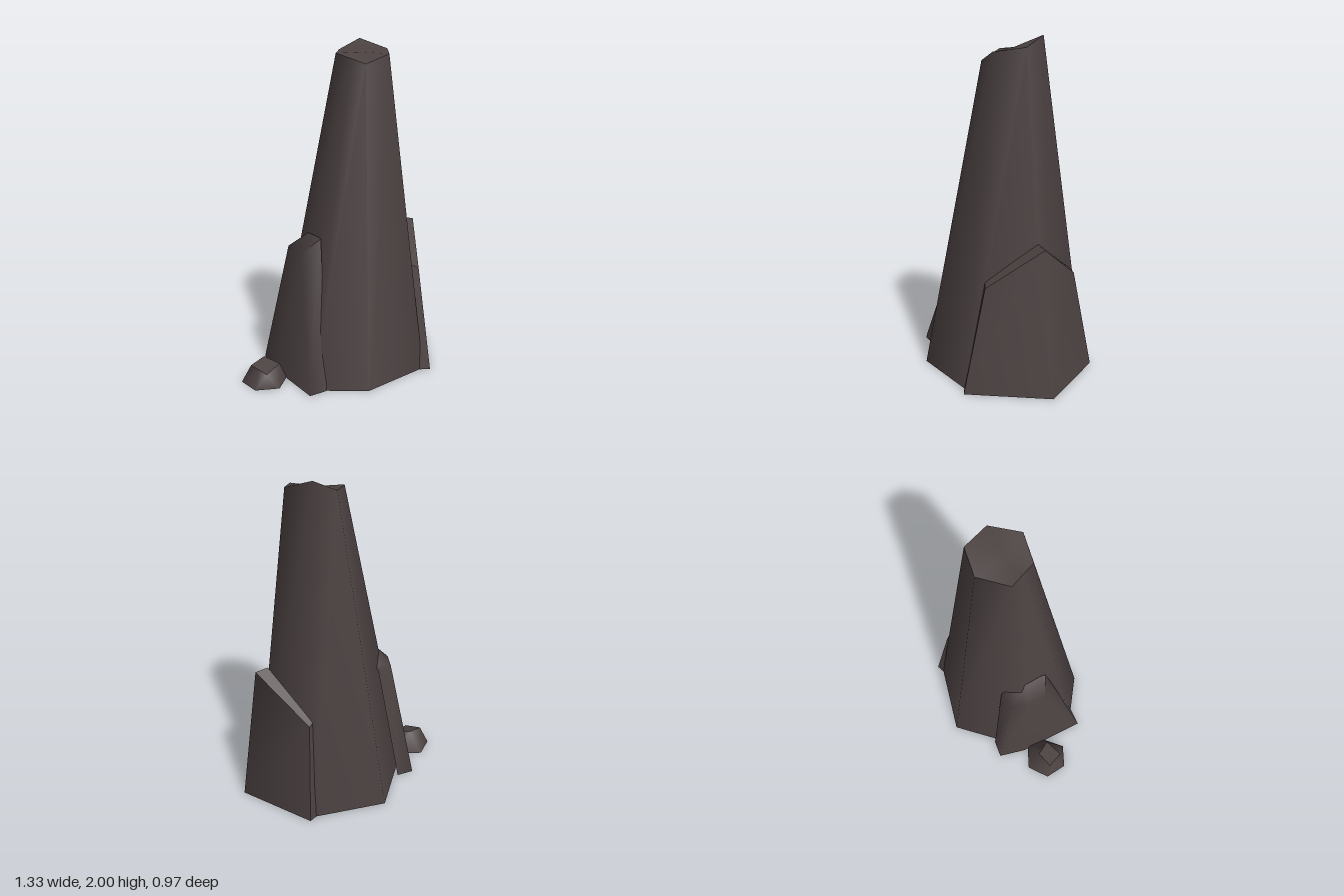
import * as THREE from 'three';

const stone = new THREE.MeshStandardMaterial({ color: 0x4b4141, side: THREE.DoubleSide });
stone.name = 'dark stone';

// Smooth skin over rows of [x, y, z] points, each row running x towards z.
function skin(name, rows, closed = false) {
  const n = rows[0].length;
  const index = [];
  for (let r = 0; r < rows.length - 1; r++) {
    for (let i = 0; i < (closed ? n : n - 1); i++) {
      const j = (i + 1) % n;
      const a = r * n + i, b = r * n + j, c = a + n, d = b + n;
      index.push(a, c, b, c, d, b);
    }
  }
  return finish(name, rows.flat(), index);
}

// Lid over a ring of points, fanned from its middle.
function lid(name, ring) {
  const n = ring.length;
  const mid = [0, 1, 2].map(k => ring.reduce((s, p) => s + p[k], 0) / n);
  const index = [];
  for (let i = 0; i < n; i++) index.push(n, (i + 1) % n, i);
  return finish(name, [...ring, mid], index);
}

function finish(name, points, index) {
  const geo = new THREE.BufferGeometry();
  geo.setAttribute('position', new THREE.Float32BufferAttribute(points.flat(), 3));
  geo.setIndex(index);
  geo.computeVertexNormals();
  const mesh = new THREE.Mesh(geo, stone);
  mesh.name = name;
  return mesh;
}

const ground = pts => pts.map(([x, z]) => [x, 0, z]);

function part(name, ...meshes) {
  const g = new THREE.Group();
  g.name = name;
  g.add(...meshes);
  return g;
}

export function createModel() {
  const model = new THREE.Group();
  model.name = 'rockSpire';

  // Tall leaning spire with a slanted top
  const spireBase = ground([[0.57, -0.1], [0.43, 0.33], [0, 0.487], [-0.3, 0.37],
    [-0.43, 0.02], [-0.17, -0.445], [0.28, -0.455]]);
  const spireTop = [[0.325, 1.94, -0.05], [0.26, 1.915, 0.125], [0.105, 1.86, 0.145],
    [0.04, 1.89, 0.073], [-0.025, 1.918, 0], [0.06, 1.935, -0.17], [0.2, 2, -0.19]];
  model.add(part('spire',
    skin('spireSides', [spireBase, spireTop], true),
    lid('spireTop', spireTop)));

  // Angular slab leaning on the left side: back, middle and front corners
  const outBase = ground([[0.315, -0.487], [0.663, -0.115], [0.465, 0.36]]);
  const outTop = [[0.285, 0.6, -0.375], [0.545, 0.852, -0.095], [0.437, 0.622, 0.222]];
  const inBase = ground([[0.265, -0.45], [0.57, -0.1], [0.405, 0.342]]);
  const inTop = [[0.262, 0.62, -0.362], [0.468, 0.865, -0.08], [0.385, 0.645, 0.208]];
  model.add(part('leftSlab',
    skin('slabFace', [outBase, outTop]),
    skin('slabBackEnd', [[inBase[0], outBase[0]], [inTop[0], outTop[0]]]),
    skin('slabFrontEnd', [[outBase[2], inBase[2]], [outTop[2], inTop[2]]]),
    ...[0, 1].map(i => skin('slabTop', [outTop.slice(i, i + 2), inTop.slice(i, i + 2)]))));

  // Rounded slab on the right side: front inner, front, middle, back, back inner
  model.add(skin('rightSlab', [
    ground([[-0.23, 0.4], [-0.34, 0.424], [-0.445, 0], [-0.447, -0.18], [-0.34, -0.195]]),
    [[-0.185, 0.86, 0.18], [-0.3, 0.77, 0.15], [-0.325, 0.77, 0.04], [-0.31, 0.76, -0.07], [-0.215, 0.76, -0.11]],
    [[-0.185, 0.86, 0.18], [-0.187, 0.862, 0.15], [-0.22, 0.868, 0.05], [-0.2, 0.79, -0.06], [-0.215, 0.76, -0.11]],
  ]));

  // Small loose rock
  const rockBase = ground([[-0.4, 0.15], [-0.48, 0.275], [-0.62, 0.25],
    [-0.668, 0.115], [-0.575, 0], [-0.41, 0.03]]);
  const rockTop = [[-0.445, 0.102, 0.16], [-0.545, 0.08, 0.235], [-0.58, 0.095, 0.188],
    [-0.615, 0.11, 0.14], [-0.52, 0.128, 0.085], [-0.483, 0.115, 0.122]];
  model.add(part('looseRock',
    skin('rockSides', [rockBase, rockTop], true),
    lid('rockTop', rockTop)));

  return model;
}
